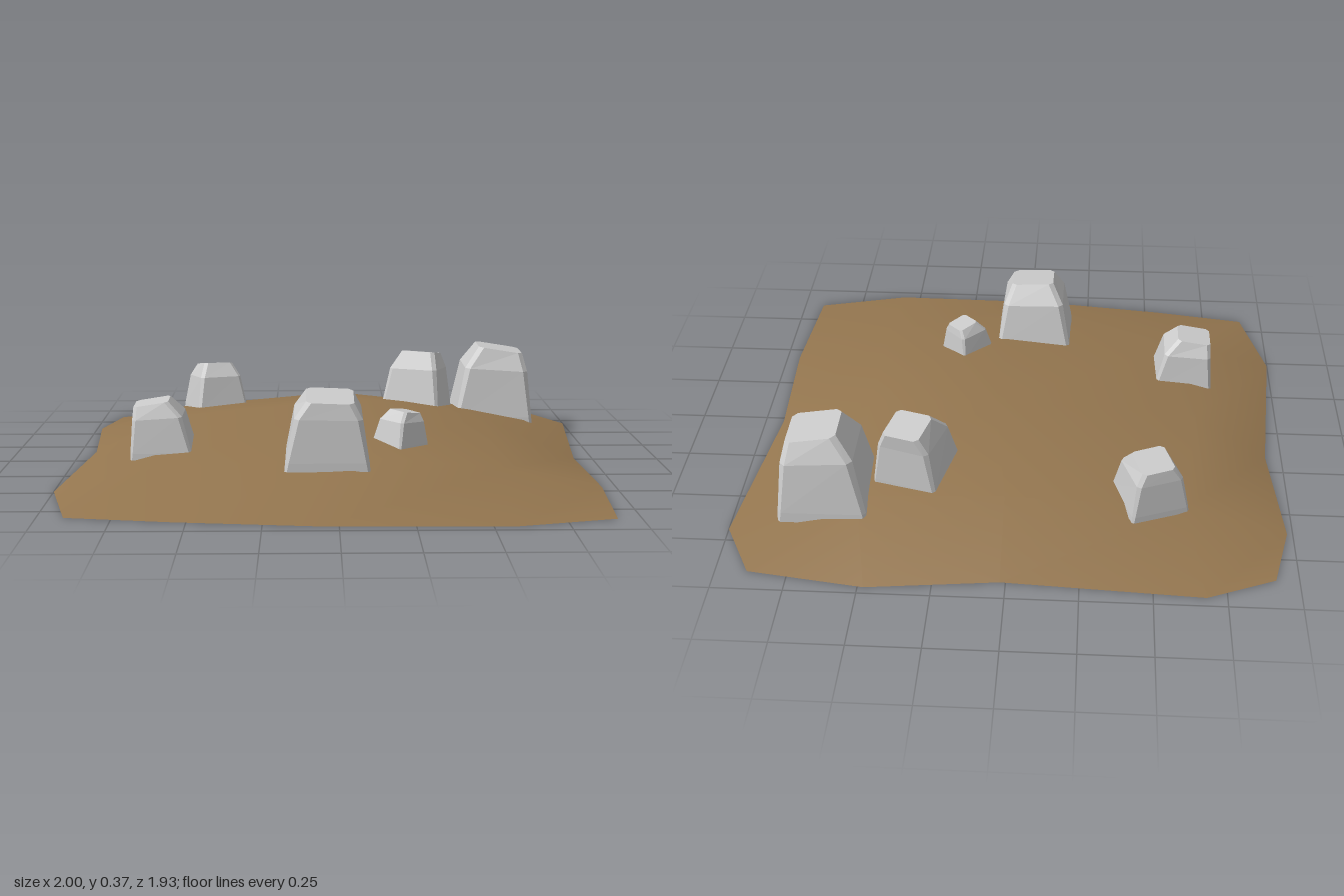
import * as THREE from 'three';

const soil = new THREE.MeshStandardMaterial({ color: 0x94764f });
const stone = new THREE.MeshStandardMaterial({ color: 0xcccccc, flatShading: true });

// Mound: 5 x 5 grid of [x, z, y], rows running from back to front
const moundRows = [
  [[-0.92, -0.86, 0], [-0.68, -0.96, 0], [0.02, -0.92, 0], [0.48, -0.97, 0], [0.89, -0.91, 0]],
  [[-0.98, -0.61, 0], [-0.62, -0.6, 0.1], [0.02, -0.64, 0.15], [0.55, -0.6, 0.1], [1, -0.69, 0]],
  [[-0.94, -0.16, 0], [-0.67, -0.1, 0.15], [0.08, -0.15, 0.215], [0.57, -0.08, 0.155], [0.93, -0.02, 0]],
  [[-1, 0.48, 0], [-0.65, 0.5, 0.09], [0.08, 0.58, 0.145], [0.58, 0.52, 0.09], [0.95, 0.44, 0]],
  [[-0.91, 0.83, 0], [-0.55, 0.89, 0], [-0.05, 0.95, 0], [0.57, 0.96, 0], [0.92, 0.87, 0]],
];

function createMound() {
  const mound = new THREE.Group();
  mound.name = 'mound';

  const top = new THREE.PlaneGeometry(2, 2, 4, 4);
  moundRows.flat().forEach(([x, z, y], i) => top.attributes.position.setXYZ(i, x, y, z));
  top.computeVertexNormals();
  const surface = new THREE.Mesh(top, soil);
  surface.name = 'moundSurface';

  // Flat underside follows the outer edge of the grid
  const edge = [
    ...moundRows[0],
    ...moundRows.slice(1, 4).map((row) => row[4]),
    ...[...moundRows[4]].reverse(),
    ...moundRows.slice(1, 4).reverse().map((row) => row[0]),
  ];
  const outline = new THREE.Shape(edge.map(([x, z]) => new THREE.Vector2(x, z)));
  const underside = new THREE.Mesh(new THREE.ShapeGeometry(outline).rotateX(Math.PI / 2), soil);
  underside.name = 'moundUnderside';
  mound.add(surface, underside);
  return mound;
}

// Square ring with narrow bevelled corners, clockwise seen from above
function bevelledSquare(half, cut) {
  const a = half, b = half - cut;
  return [[-b, -a], [b, -a], [a, -b], [a, b], [b, a], [-b, a], [-a, b], [-a, -b]];
}

// Rock: tapering rings, with the small crown shifted and dipping along "lean"
function createRock({ name, x, z, size, yaw = 0, bottom, top, lean }) {
  const height = top - bottom;
  const rings = [
    // half width, height share, bevel, share of lean
    [0.5, 0, 0.03, 0],
    [0.49, 0.12, 0.04, 0.05],
    [0.4, 0.72, 0.06, 0.4],
    [0.28, 0.96, 0.06, 1],
  ];
  const positions = [];
  const index = [];
  const c = Math.cos(yaw), s = Math.sin(yaw);
  const leanLength = Math.hypot(...lean) || 1;
  rings.forEach(([half, level, cut, shift]) => {
    bevelledSquare(half * size, cut * size).forEach(([u, v]) => {
      const px = u * c - v * s, pz = u * s + v * c;
      const dip = ((px * lean[0] + pz * lean[1]) / leanLength) * 0.16 * shift;
      positions.push(x + px + lean[0] * shift, bottom + height * level - dip, z + pz + lean[1] * shift);
    });
  });
  for (let r = 0; r < rings.length - 1; r++) {
    for (let i = 0; i < 8; i++) {
      const a = r * 8 + i, b = r * 8 + (i + 1) % 8;
      index.push(a, a + 8, b, b, a + 8, b + 8);
    }
  }
  // Bottom and crown caps
  const crown = (rings.length - 1) * 8;
  for (let i = 1; i < 7; i++) {
    index.push(0, i, i + 1);
    index.push(crown, crown + i + 1, crown + i);
  }
  const geometry = new THREE.BufferGeometry();
  geometry.setAttribute('position', new THREE.Float32BufferAttribute(positions, 3));
  geometry.setIndex(index);
  const flat = geometry.toNonIndexed();
  flat.computeVertexNormals();
  const rock = new THREE.Mesh(flat, stone);
  rock.name = name;
  return rock;
}

const rocks = [
  { name: 'frontRock', x: -0.035, z: 0.51, size: 0.295, bottom: 0.11, top: 0.365, lean: [0.01, 0.04] },
  { name: 'frontPebble', x: 0.23, z: 0.345, size: 0.15, yaw: -0.74, bottom: 0.13, top: 0.265, lean: [0.02, -0.01] },
  { name: 'rightRock', x: -0.63, z: 0.25, size: 0.225, bottom: 0.085, top: 0.29, lean: [-0.04, 0.005] },
  { name: 'backRightRock', x: -0.49, z: -0.555, size: 0.215, yaw: -0.37, bottom: 0.09, top: 0.295, lean: [-0.005, -0.03] },
  { name: 'backLeftRock', x: 0.345, z: -0.455, size: 0.245, yaw: 0.32, bottom: 0.1, top: 0.355, lean: [0.025, -0.05] },
  { name: 'largeBackLeftRock', x: 0.66, z: -0.54, size: 0.32, bottom: 0.05, top: 0.37, lean: [0.035, 0] },
];

export function createModel() {
  const model = new THREE.Group();
  model.name = 'rockyMound';
  model.add(createMound(), ...rocks.map(createRock));
  return model;
}
